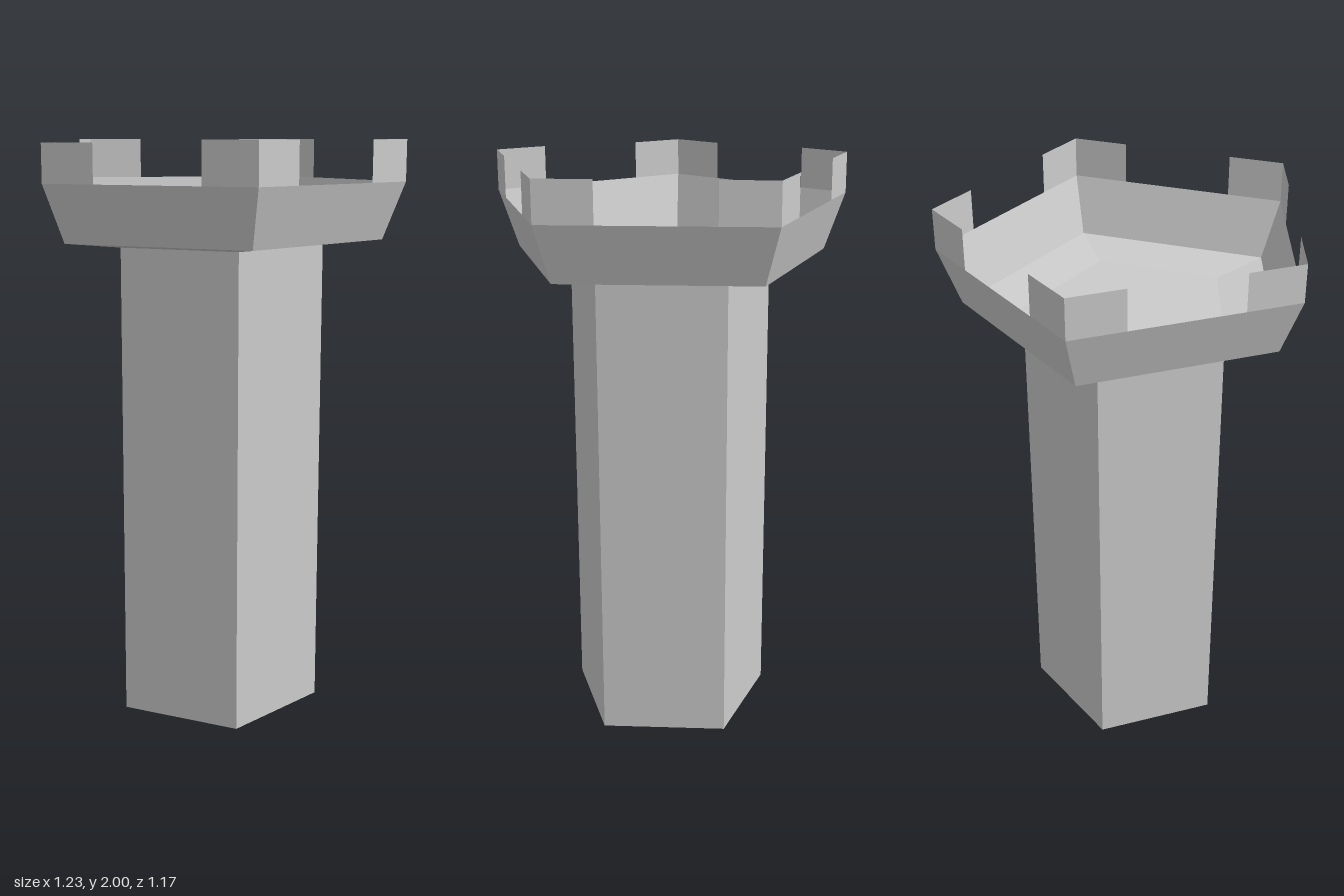
import * as THREE from 'three';

const SIDES = 5;
const STEP = (Math.PI * 2) / SIDES;
const SHAFT_R = 0.368, FLOOR_R = 0.57, RIM_R = 0.645;
const SHAFT_TOP = 1.645, FLOOR_Y = 1.665, RIM_Y = 1.86, TOP_Y = 2;

export function createModel() {
  const material = new THREE.MeshStandardMaterial({
    color: 0xcccccc, flatShading: true, side: THREE.DoubleSide,
  });
  const tower = new THREE.Group();
  tower.name = 'tower';
  tower.position.z = 0.06; // a pentagon's bounds are not centred on its axis

  const add = (name, geometry) => {
    const mesh = new THREE.Mesh(geometry, material);
    mesh.name = name;
    tower.add(mesh);
    return mesh;
  };

  // Thin five-sided wall between two heights, with one corner at the back
  const wall = (name, r0, y0, r1, y1) => {
    const geometry = new THREE.CylinderGeometry(r1, r0, y1 - y0, SIDES, 1, true, Math.PI);
    add(name, geometry.translate(0, (y0 + y1) / 2, 0));
  };
  wall('shaft', SHAFT_R, 0, SHAFT_R, SHAFT_TOP);
  wall('overhang', SHAFT_R, SHAFT_TOP, FLOOR_R, FLOOR_Y);
  wall('parapet', FLOOR_R, FLOOR_Y, RIM_R, RIM_Y);

  // Floor closing the top of the shaft
  const floor = new THREE.CircleGeometry(SHAFT_R, SIDES, Math.PI / 2);
  add('floor', floor.rotateX(-Math.PI / 2).translate(0, SHAFT_TOP, 0));

  // Corner merlon: two thin panels, each a quarter of a rim side long
  const corner = (k) => new THREE.Vector3(-Math.sin(k * STEP), 0, -Math.cos(k * STEP)).multiplyScalar(RIM_R);
  const back = corner(0);
  const path = [back.clone().lerp(corner(1), 0.25), back, back.clone().lerp(corner(-1), 0.25)];
  const merlon = new THREE.PlaneGeometry(1, TOP_Y - RIM_Y, 2, 1).translate(0, (TOP_Y - RIM_Y) / 2, 0);
  const pos = merlon.attributes.position;
  for (let i = 0; i < pos.count; i++) {
    const p = path[2 - (i % 3)]; // ordered so the panels face outward
    pos.setXYZ(i, p.x, pos.getY(i), p.z);
  }
  merlon.computeVertexNormals();

  for (let k = 0; k < SIDES; k++) {
    const mesh = add('merlon', merlon);
    mesh.position.y = RIM_Y;
    mesh.rotation.y = k * STEP;
    if (k === 1) mesh.scale.y = 0.93; // the right corner is slightly lower
  }

  const model = new THREE.Group();
  model.add(tower);
  return model;
}
